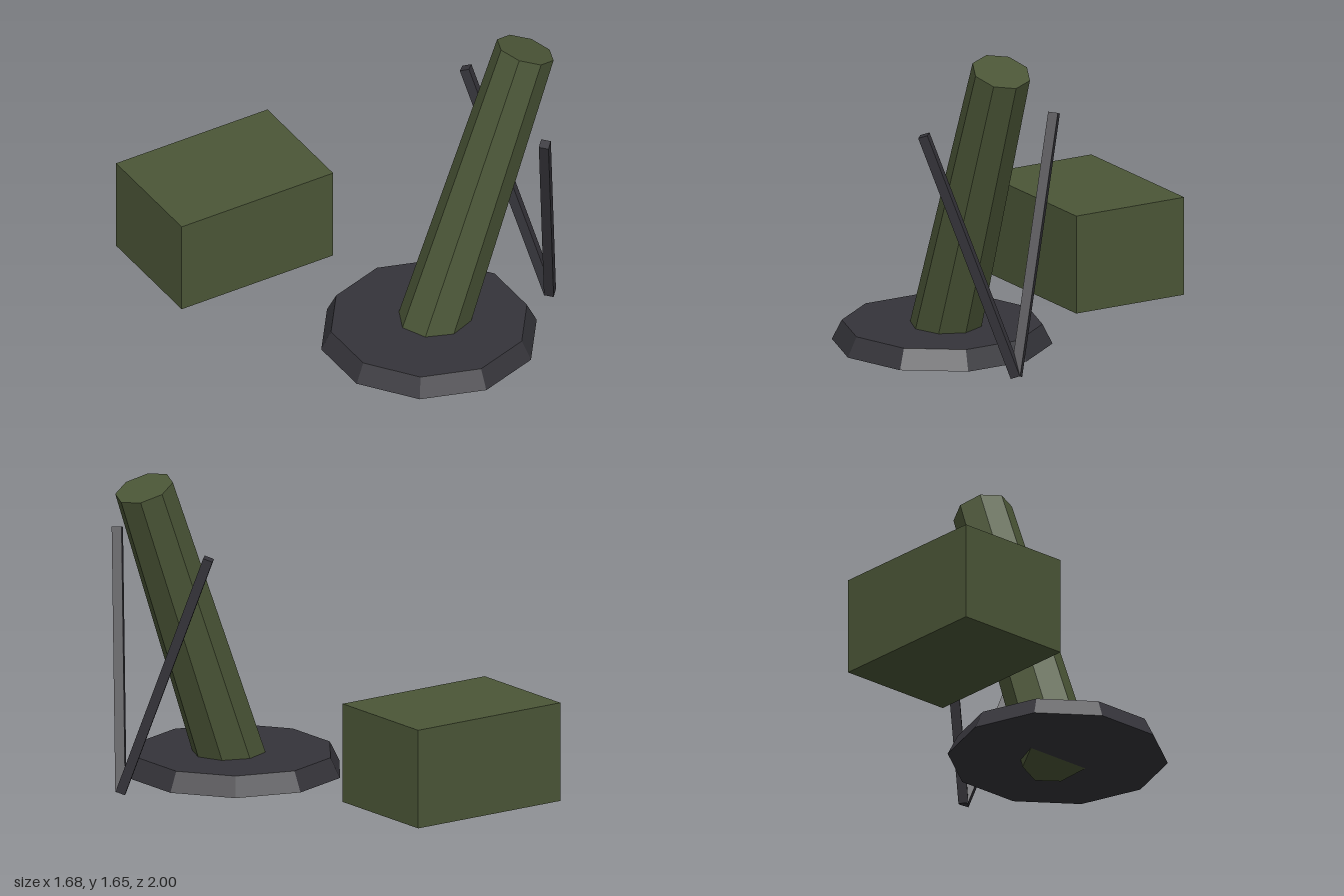
import * as THREE from 'three';

export function createModel() {
  const model = new THREE.Group();
  const olive = new THREE.MeshStandardMaterial({ color: 0x4b5637, flatShading: true });
  olive.name = 'olive green';
  const gunmetal = new THREE.MeshStandardMaterial({ color: 0x35343a, flatShading: true });
  gunmetal.name = 'dark gunmetal';

  const Z = 0.45; // depth of the mortar's centre line

  const add = (name, geometry, material) => {
    const mesh = new THREE.Mesh(geometry, material);
    mesh.name = name;
    model.add(mesh);
    return mesh;
  };

  // Tapered prism running between two points
  const rod = (name, from, to, rBottom, rTop, sides, material) => {
    const a = new THREE.Vector3(...from);
    const b = new THREE.Vector3(...to);
    const axis = b.clone().sub(a);
    const mesh = add(name, new THREE.CylinderGeometry(rTop, rBottom, axis.length(), sides), material);
    mesh.position.copy(a).add(b).multiplyScalar(0.5);
    mesh.quaternion.setFromUnitVectors(new THREE.Vector3(0, 1, 0), axis.normalize());
  };

  // Ten-sided base plate
  rod('basePlate', [0.1, 0.063, Z], [0.1, 0.163, Z], 0.55, 0.5, 10, gunmetal);

  // Leaning eight-sided barrel, poking through the plate
  rod('barrel', [0.1, 0.062, Z], [0.66, 1.6, Z], 0.18, 0.15, 8, olive);

  // Two thin legs spreading upward from one foot
  for (const side of [-1, 1]) {
    rod(side > 0 ? 'frontLeg' : 'backLeg',
      [0.803, 0.06, Z], [0.543, 1.3, Z + side * 0.38], 0.035, 0.035, 4, gunmetal);
  }

  // Ammunition crate
  const crate = add('crate', new THREE.BoxGeometry(0.88, 0.505, 0.63), olive);
  crate.position.set(-0.4, 0.316, -0.685);

  return model;
}
